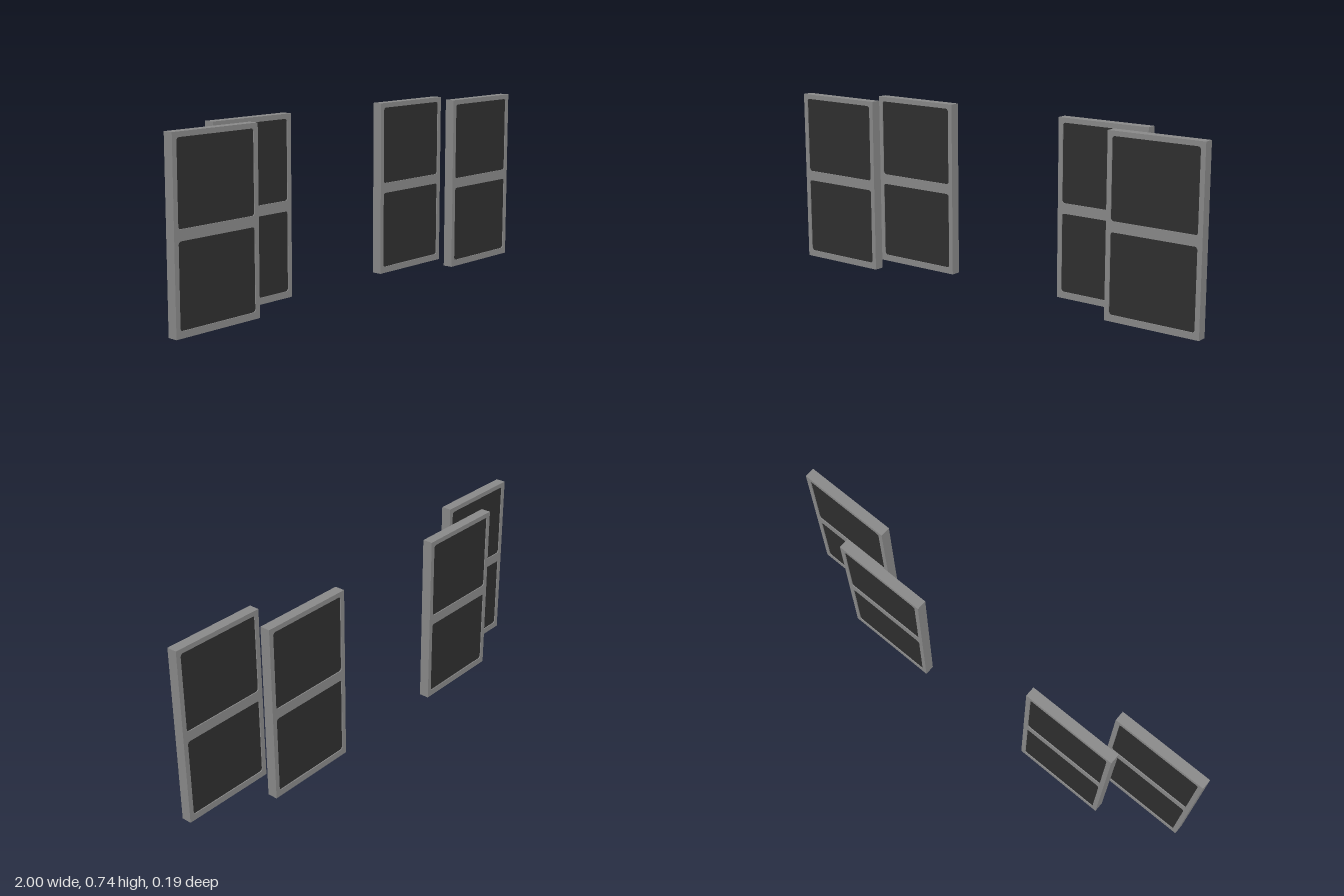
import * as THREE from 'three';

const W = 0.41, H = 0.742, D = 0.043;   // one panel
const PANE_W = 0.37, PANE_H = 0.326;    // one dark pane
const PANE_Y = [0.19, 0.559];           // pane centre heights
const RECESS = 0.004;

// Rounded rectangle centred on (cx, cy)
function roundedRect(path, cx, cy, w, h, r) {
  const x0 = cx - w / 2, x1 = cx + w / 2, y0 = cy - h / 2, y1 = cy + h / 2;
  path.absarc(x1 - r, y0 + r, r, -Math.PI / 2, 0);
  path.absarc(x1 - r, y1 - r, r, 0, Math.PI / 2);
  path.absarc(x0 + r, y1 - r, r, Math.PI / 2, Math.PI);
  path.absarc(x0 + r, y0 + r, r, Math.PI, Math.PI * 1.5);
  path.closePath();
  return path;
}

export function createModel() {
  const frameGrey = new THREE.MeshStandardMaterial({ color: 0x888888 });
  frameGrey.name = 'frameGrey';
  const paneDark = new THREE.MeshStandardMaterial({ color: 0x2e2e2e });
  paneDark.name = 'paneDark';

  // Frame outline with two rounded openings
  const outline = new THREE.Shape([
    new THREE.Vector2(-W / 2, 0), new THREE.Vector2(W / 2, 0),
    new THREE.Vector2(W / 2, H), new THREE.Vector2(-W / 2, H),
  ]);
  for (const y of PANE_Y) {
    outline.holes.push(roundedRect(new THREE.Path(), 0, y, PANE_W, PANE_H, 0.012));
  }
  const frameGeo = new THREE.ExtrudeGeometry(outline, { depth: D, bevelEnabled: false, curveSegments: 5 });
  frameGeo.translate(0, 0, -D / 2);

  // Pane tucked just inside each opening, seen from both sides
  const paneGeo = new THREE.BoxGeometry(PANE_W + 0.006, PANE_H + 0.006, D - 2 * RECESS);

  function panel(name, x, z) {
    const group = new THREE.Group();
    group.name = name;
    const frame = new THREE.Mesh(frameGeo, frameGrey);
    frame.name = 'frame';
    group.add(frame);
    PANE_Y.forEach((y, i) => {
      const pane = new THREE.Mesh(paneGeo, paneDark);
      pane.name = i ? 'upperPane' : 'lowerPane';
      pane.position.y = y;
      group.add(pane);
    });
    group.position.set(x, 0, z);
    return group;
  }

  // Mirrored pairs: outer panels in front, inner panels behind
  const model = new THREE.Group();
  model.name = 'slidingPanels';
  for (const [side, s] of [['left', 1], ['right', -1]]) {
    model.add(panel(side + 'OuterPanel', s * 0.795, 0.0715));
    model.add(panel(side + 'InnerPanel', s * 0.4775, -0.0715));
  }
  return model;
}
